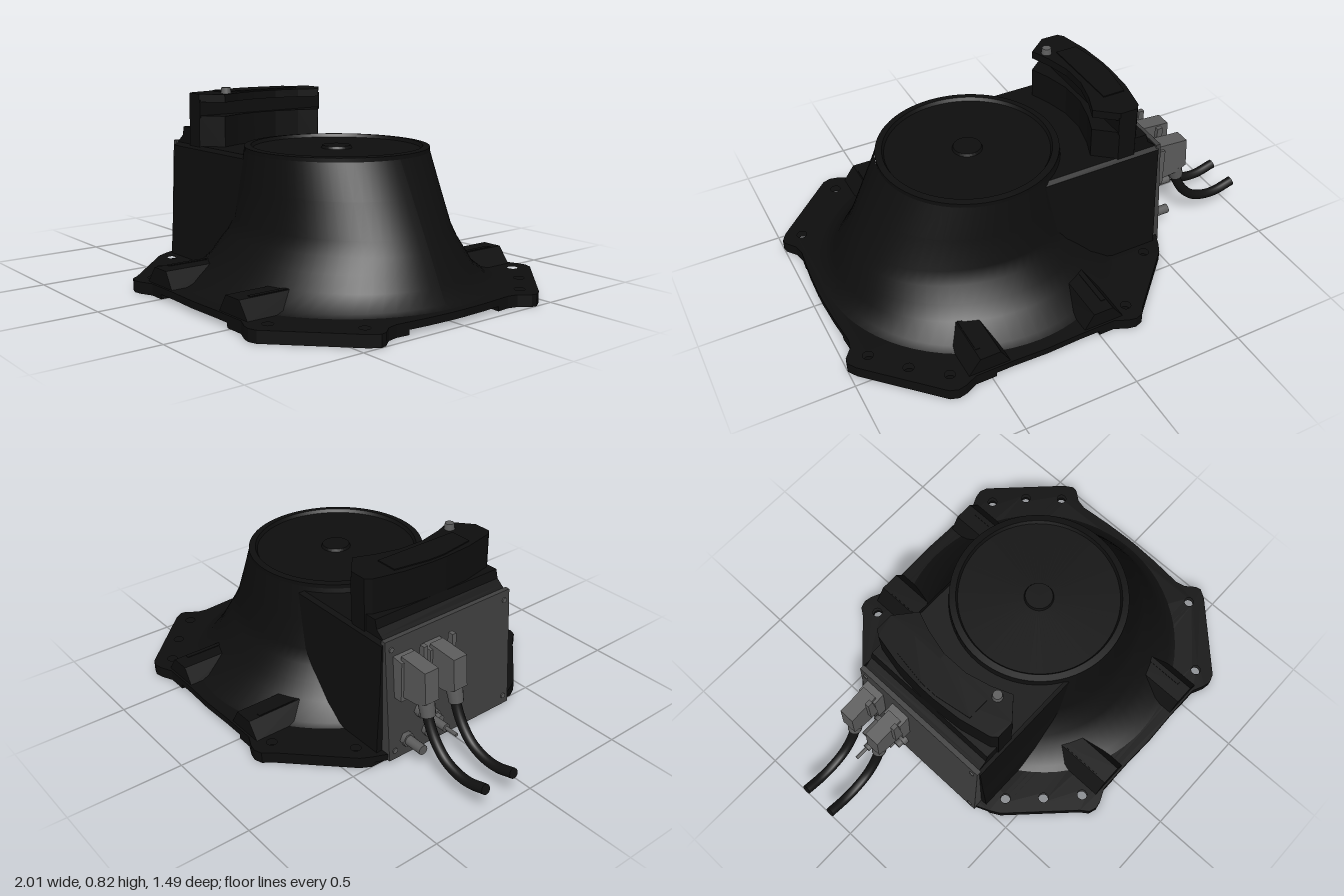
import * as THREE from 'three';
import { toCreasedNormals } from 'three/addons/utils/BufferGeometryUtils.js';

const mat = (name, color, side = THREE.FrontSide) => {
  const m = new THREE.MeshStandardMaterial({ color, side });
  m.name = name;
  return m;
};

export function createModel() {
  const black = mat('castBlack', 0x0e0e0e);
  const rubber = mat('cableBlack', 0x111111);
  const panelGrey = mat('panelGrey', 0x404040);
  const metal = mat('connectorGrey', 0x5c5c5c);
  const group = new THREE.Group();
  const CX = 0.25; // axis of the round housing

  const add = (name, geo, material = black, x = 0, y = 0, z = 0) => {
    const mesh = new THREE.Mesh(geo, material);
    mesh.name = name;
    mesh.position.set(x, y, z);
    group.add(mesh);
    return mesh;
  };
  const toShape = (pts) => new THREE.Shape(pts.map((p) => new THREE.Vector2(p[0], p[1])));
  const mirrorZ = (pts) => [...pts, ...pts.map(([x, z]) => [x, -z]).reverse()];
  // Outline in x-z, standing between two heights, with round holes
  const slab = (pts, y0, y1, holes = []) => {
    const s = toShape(pts);
    for (const [x, z] of holes) {
      s.holes.push(new THREE.Path().absarc(x, z, 0.022, 0, Math.PI * 2, true));
    }
    return new THREE.ExtrudeGeometry(s, { depth: y1 - y0, bevelEnabled: false, curveSegments: 10 })
      .rotateX(Math.PI / 2).translate(0, y1, 0);
  };
  // Outline in x-y, extruded along z and centred
  const profile = (pts, width) =>
    new THREE.ExtrudeGeometry(toShape(pts), { depth: width, bevelEnabled: false }).translate(0, 0, -width / 2);

  // Flange plate with eared corners
  const holes = [[-0.16, 0.66], [0.66, 0.66], [0.91, 0.415], [-0.41, 0.415]]
    .flatMap(([x, z]) => [[x, z], [x, -z]]);
  holes.push([0.79, -0.55], [-0.29, 0.54]);
  const leftEar = [[-0.53, 0.33], [-0.5, 0.4], [-0.475, 0.445], [-0.22, 0.7], [-0.195, 0.735],
    [-0.16, 0.747], [-0.125, 0.74], [-0.07, 0.715]];
  const rightEar = [[0.57, 0.715], [0.625, 0.74], [0.66, 0.747], [0.695, 0.735], [0.975, 0.455],
    [1, 0.415], [0.995, 0.39], [0.96, 0.345], [0.95, 0.3]];
  const edge = [...leftEar, [0.1, 0.715], [0.25, 0.72], [0.4, 0.715], ...rightEar, [0.963, 0.15], [0.968, 0.03]];
  add('flangePlate', slab(mirrorZ(edge), 0.02, 0.05, holes));

  // Low feet under the four corners
  const footOutlines = [
    [[-0.5, 0.24], ...leftEar.slice(1), [0, 0.715], [0, 0.62], [-0.36, 0.25]],
    [[0.48, 0.62], [0.48, 0.715], ...rightEar, [0.955, 0.24], [0.86, 0.25]],
  ];
  for (const f of footOutlines) {
    for (const s of [1, -1]) {
      const cx = f[0][0] < 0 ? [-1, 0.2] : [0.4, 1.1];
      const own = holes.filter(([x, z]) => x > cx[0] && x < cx[1] && z * s > 0);
      add('cornerFoot', slab(f.map(([x, z]) => [x, z * s]), 0, 0.02, own));
    }
  }

  // Flared housing: rings of [y, reach to +x, reach to -x, reach to z]
  const rings = [
    [0.045, 0.7, 0.64, 0.68], [0.06, 0.65, 0.61, 0.63], [0.12, 0.62, 0.56, 0.54], [0.18, 0.592, 0.52, 0.495],
    [0.24, 0.563, 0.48, 0.45], [0.3, 0.533, 0.45, 0.422], [0.44, 0.463, 0.42, 0.405], [0.585, 0.39, 0.39, 0.389],
  ];
  const N = 72, pos = [], idx = [];
  rings.forEach(([y, rp, rn, rz], r) => {
    for (let i = 0; i <= N; i++) {
      const a = (i / N) * Math.PI * 2, c = Math.cos(a);
      pos.push(CX + c * (c > 0 ? rp : rn), y, Math.sin(a) * rz);
      if (r && i < N) {
        const k = r * (N + 1) + i, j = k - N - 1;
        idx.push(j, k, j + 1, k, k + 1, j + 1);
      }
    }
  });
  const shell = new THREE.BufferGeometry();
  shell.setAttribute('position', new THREE.Float32BufferAttribute(pos, 3));
  shell.setIndex(idx);
  shell.computeVertexNormals();
  add('flaredHousing', shell);

  // Rimmed top with a shallow recess and a hub
  const capPts = [[0.389, 0.58], [0.389, 0.602], [0.36, 0.605], [0.352, 0.59], [0.065, 0.59], [0.06, 0.602], [0, 0.602]];
  const cap = new THREE.LatheGeometry(capPts.map((p) => new THREE.Vector2(...p)), N);
  add('topCap', toCreasedNormals(cap, 0.5), black, CX);

  // Shoulder block joining the housing to the connector panel
  const half = [[0.37, 0.04], [0.365, 0.15], [0.355, 0.3], [0.345, 0.55], [0.33, 0.565]];
  const section = [...half, ...half.map(([z, y]) => [-z, y]).reverse()];
  add('shoulderBlock', new THREE.ExtrudeGeometry(toShape(section), { depth: 0.55, bevelEnabled: false })
    .rotateY(Math.PI / 2).translate(-0.49, 0, 0));

  // Raised pads on both long sides
  for (const [x, s] of [[-0.02, 1], [0.5, -1]]) {
    for (const side of [1, -1]) {
      const pad = profile([[-0.1, 0.045], [0.09, 0.045], [0.045, 0.12], [-0.045, 0.12]]
        .map(([px, y]) => [px * s, y]), 0.26);
      add('sidePad', pad, black, x, 0, 0.575 * side);
      add('padRib', new THREE.BoxGeometry(0.02, 0.02, 0.18), black, x - 0.03 * s, 0.113, 0.56 * side);
    }
  }

  // Curved tower with a slot under its top lip
  const outer = [[-0.43, 0.04], [-0.42, 0.17], [-0.39, 0.31], [-0.37, 0.335]];
  const inner = [[-0.29, 0.335], [-0.2, 0.26], [-0.235, 0.17], [-0.262, 0.06]];
  const tower = mirrorZ([...outer, ...inner]);
  add('towerBase', slab(tower, 0.55, 0.7));
  add('towerNeck', slab(mirrorZ([...outer, [-0.285, 0.335]]), 0.69, 0.77));
  add('towerLip', slab(tower, 0.76, 0.795));
  add('towerTopPlate', slab(mirrorZ([[-0.415, 0.04], [-0.39, 0.2], [-0.29, 0.2], [-0.29, 0.04]]), 0.79, 0.8));
  // Sloped fillet behind the tower
  add('towerFillet', profile([[-0.49, 0.56], [-0.3, 0.56], [-0.3, 0.64], [-0.43, 0.64], [-0.44, 0.6], [-0.465, 0.58]], 0.66));
  add('towerBolt', new THREE.CylinderGeometry(0.02, 0.024, 0.03, 12), metal, -0.25, 0.807, 0.22);

  // Slightly leaning connector panel
  add('connectorPanel', profile([[-0.538, 0.02], [-0.48, 0.02], [-0.48, 0.572], [-0.502, 0.572]], 0.68), panelGrey);
  for (const z of [-0.31, 0.31]) {
    for (const y of [0.06, 0.53]) {
      add('panelScrew', new THREE.CylinderGeometry(0.012, 0.012, 0.012, 10).rotateZ(Math.PI / 2), metal, -0.537 + (y - 0.02) * 0.065, y, z);
    }
  }

  // Two plug connectors with drooping cables
  const path = [[-0.655, 0.33], [-0.67, 0.27], [-0.71, 0.195], [-0.77, 0.135], [-0.84, 0.108], [-0.91, 0.105], [-0.995, 0.128]];
  for (const z of [-0.255, -0.105]) {
    add('plugSocket', profile([[-0.56, 0.31], [-0.49, 0.31], [-0.49, 0.5], [-0.56, 0.49]], 0.095), metal, 0, 0, z);
    add('plugHood', profile([[-0.69, 0.36], [-0.64, 0.335], [-0.54, 0.325], [-0.54, 0.51], [-0.68, 0.5]], 0.07), metal, 0, 0, z);
    add('plugLatch', profile([[-0.6, 0.4], [-0.56, 0.4], [-0.57, 0.55], [-0.595, 0.55]], 0.02), metal, 0, 0, z + 0.045);
    add('cableGland', new THREE.CylinderGeometry(0.036, 0.031, 0.07, 12), metal, -0.66, 0.32, z).rotation.z = -0.25;
    const curve = new THREE.CatmullRomCurve3(path.map(([x, y]) => new THREE.Vector3(x, y, z)));
    add('cable', new THREE.TubeGeometry(curve, 32, 0.022, 12), rubber);
    const end = add('cableEnd', new THREE.CylinderGeometry(0.022, 0.022, 0.008, 12), rubber, -0.996, 0.128, z);
    end.rotation.z = Math.PI / 2 - 0.27;
  }

  // Small ports: [length, radius, y, z]
  const ports = [[0.18, 0.018, 0.2, -0.175], [0.24, 0.008, 0.2, -0.175], [0.13, 0.022, 0.095, -0.25],
    [0.07, 0.018, 0.145, -0.1], [0.09, 0.016, 0.09, -0.14]];
  for (const [len, r, y, z] of ports) {
    add('port', new THREE.CylinderGeometry(r, r, len, 12).rotateZ(Math.PI / 2), metal, -0.51 - len / 2, y, z);
    add('portCollar', new THREE.CylinderGeometry(r + 0.01, r + 0.01, 0.03, 6).rotateZ(Math.PI / 2), metal, -0.54, y, z);
  }
  return group;
}
